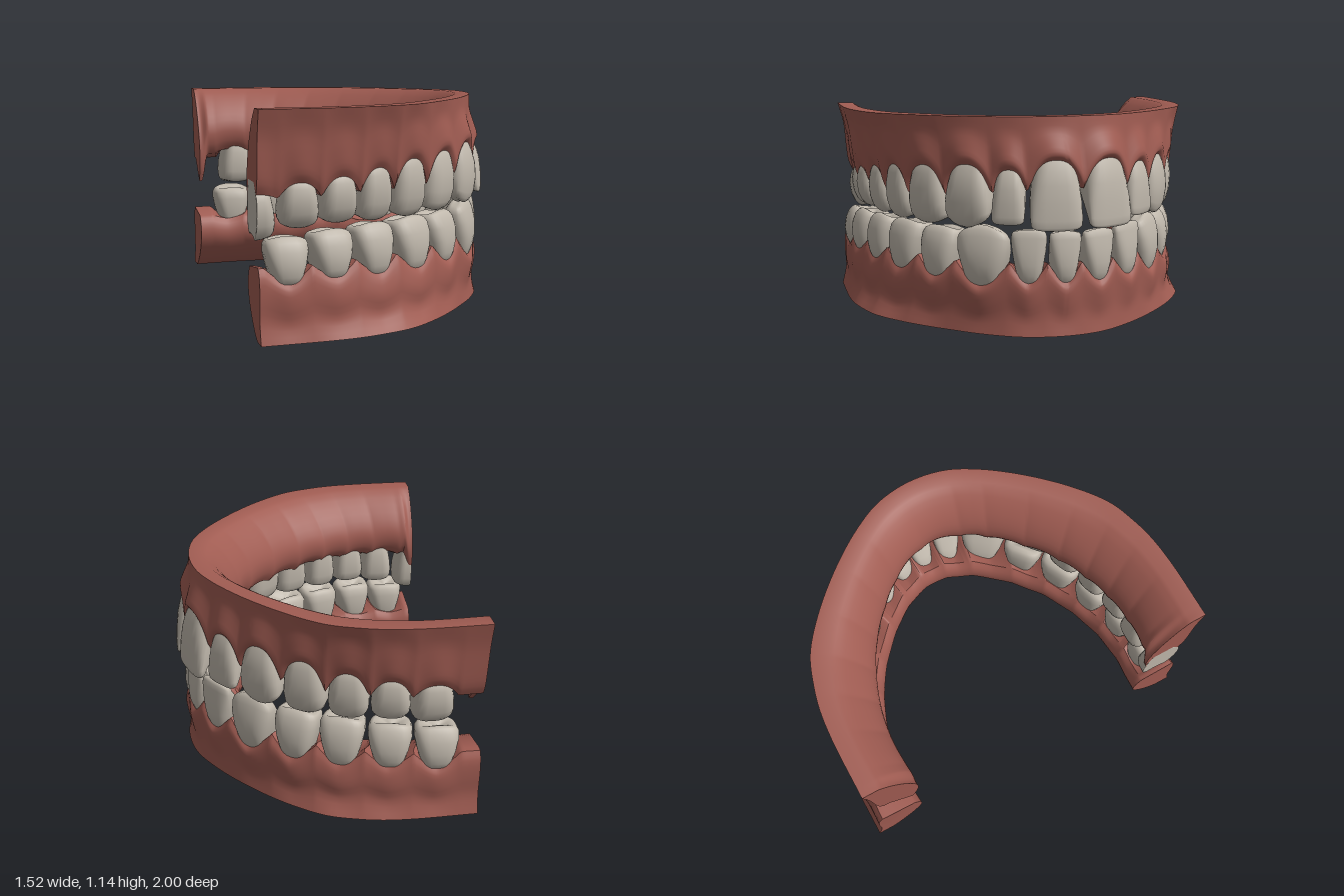
import * as THREE from 'three';
import { toCreasedNormals, mergeVertices } from 'three/addons/utils/BufferGeometryUtils.js';

const gumMat = new THREE.MeshStandardMaterial({ color: 0xa05c52, side: THREE.DoubleSide });
gumMat.name = 'gum';
const toothMat = new THREE.MeshStandardMaterial({ color: 0xc0b8ac });
toothMat.name = 'enamel';

const BACK = -0.76, MIDLINE = -0.093;

// Horseshoe curve through [x, z] points, running from the left end round the front to the right end
function horseshoe(points) {
  const curve = new THREE.CatmullRomCurve3(points.map(([x, z]) => new THREE.Vector3(x, 0, z)));
  curve.arcLengthDivisions = 1000;
  return curve;
}
const mirrored = half => [...half, ...half.slice(0, -1).reverse().map(([x, z]) => [x, -z])];

// Outer rim of the gum, and its fullest line on the tongue side
const RIM = horseshoe(mirrored([[BACK, 1], [-0.42, 1], [-0.25, 0.985], [-0.12, 0.955], [0.03, 0.9], [0.2, 0.775],
  [0.4, 0.57], [0.55, 0.365], [0.63, 0.2], [0.66, 0]]));
const TONGUE = horseshoe(mirrored([[BACK, 0.71], [-0.52, 0.722], [-0.29, 0.685], [-0.02, 0.57], [0.17, 0.425],
  [0.325, 0.25], [0.395, 0.11], [0.415, 0]]));
// Outer faces of the two rows of teeth
const FRONT = [[0.545, 0.425], [0.65, 0.235], [0.698, 0.03], [0.695, -0.12], [0.65, -0.27], [0.545, -0.435]];
const UPPER_ROW = horseshoe([[BACK, 0.925], [-0.4, 0.93], [-0.2, 0.89], [0, 0.825], [0.2, 0.735], [0.4, 0.58], ...FRONT,
  [0.4, -0.595], [0.2, -0.755], [0, -0.845], [-0.2, -0.905], [-0.4, -0.938], [BACK, -0.935]]);
const LOWER_ROW = horseshoe([[BACK, 0.97], [-0.45, 0.957], [-0.22, 0.905], [0, 0.83], [0.2, 0.725], [0.4, 0.575], ...FRONT,
  [0.4, -0.59], [0.2, -0.745], [0, -0.845], [-0.22, -0.915], [-0.45, -0.957], [BACK, -0.97]]);

// Point, tangent, outward normal and "frontness" at a distance along a row
function at(row, s) {
  const length = row.getLength(), inside = THREE.MathUtils.clamp(s, 0, length);
  const t = row.getTangentAt(inside / length);
  const p = row.getPointAt(inside / length).addScaledVector(t, s - inside);
  const n = new THREE.Vector3(-t.z, 0, t.x);
  return { p, t, n, front: Math.max(0, n.x) ** 2 };
}

// Walk along a row until a condition holds
function walk(row, s, dir, done) {
  while (!done(at(row, s).p)) s += dir * 0.002;
  return s;
}

// Crown levels: [height, width, outer face, inner face]
const CROWNS = {
  incisor: [[-0.25, 0.6, -0.05, -0.18], [0, 0.7, -0.004, -0.2], [0.15, 0.8, 0.012, -0.2], [0.35, 0.9, 0.018, -0.17],
    [0.6, 0.97, 0.014, -0.12], [0.85, 0.98, 0.004, -0.07], [0.95, 0.95, -0.003, -0.06], [0.99, 0.86, -0.012, -0.052], [1, 0.55, -0.022, -0.042]],
  canine: [[-0.25, 0.6, -0.05, -0.19], [0, 0.7, -0.004, -0.2], [0.15, 0.8, 0.014, -0.2], [0.35, 0.91, 0.024, -0.19],
    [0.6, 0.99, 0.02, -0.16], [0.83, 0.97, 0.002, -0.12], [0.93, 0.9, -0.012, -0.1], [0.98, 0.76, -0.025, -0.085], [1, 0.4, -0.04, -0.07]],
  molar: [[-0.25, 0.65, -0.05, -0.18], [0, 0.74, -0.006, -0.195], [0.15, 0.83, 0.008, -0.205], [0.4, 0.94, 0.016, -0.21],
    [0.68, 1, 0.006, -0.21], [0.87, 0.97, -0.014, -0.2], [0.96, 0.89, -0.034, -0.185], [1, 0.74, -0.052, -0.165],
    [0.95, 0.5, -0.075, -0.145], [0.88, 0.15, -0.1, -0.12]],
};

// Teeth outward from the midline: [far end, gum margin y, biting edge y, crown]
// The far end is a distance in z for the two incisors and an x position for the rest
const I = 'incisor', C = 'canine', M = 'molar';
const UPPER = [
  [[0.2, 0.92, 0.56, I], [0.37, 0.87, 0.59, I], [0.4, 0.89, 0.56, C], [0.185, 0.87, 0.565, M], [-0.025, 0.85, 0.56, M],
    [-0.225, 0.82, 0.56, M], [-0.435, 0.79, 0.565, M], [-0.65, 0.77, 0.55, M], [-0.86, 0.72, 0.5, M]],
  [[0.376, 0.92, 0.56, I], [0.55, 0.88, 0.59, I], [0.25, 0.89, 0.56, C], [0.035, 0.87, 0.565, M],
    [-0.18, 0.83, 0.56, M], [-0.395, 0.8, 0.565, M], [-0.63, 0.77, 0.54, M]],
];
const LOWER = [
  [[0.09, 0.28, 0.55, I], [0.285, 0.28, 0.56, I], [0.44, 0.26, 0.575, C], [0.235, 0.28, 0.54, M], [-0.01, 0.285, 0.545, M],
    [-0.25, 0.295, 0.54, M], [-0.49, 0.305, 0.53, M], [-0.73, 0.29, 0.51, M]],
  [[0.29, 0.28, 0.55, I], [0.485, 0.28, 0.56, I], [0.3, 0.26, 0.575, C], [0.08, 0.28, 0.545, M],
    [-0.165, 0.29, 0.545, M], [-0.41, 0.3, 0.53, M], [-0.66, 0.29, 0.515, M]],
];

function placeTeeth(row, sides) {
  const start = walk(row, row.getLength() / 2 - 0.15, 1, p => p.z <= MIDLINE);
  return sides.flatMap((list, k) => {
    const dir = k === 0 ? -1 : 1;
    let s = start;
    return list.map(([end, margin, edge, crown], i) => {
      const from = s;
      s = walk(row, s, dir, p => (i < 2 ? -dir * p.z >= end : p.x <= end));
      return { mid: (from + s) / 2, width: Math.abs(s - from), margin, edge, crown };
    });
  });
}

// Closed rings joined into a geometry, creased or fully smooth
function loft(rings, flip, crease, caps = []) {
  const m = rings[0].length, pos = [], idx = [];
  rings.forEach(r => r.forEach(v => pos.push(v.x, v.y, v.z)));
  const tri = (a, b, c) => flip ? idx.push(a, c, b) : idx.push(a, b, c);
  for (let i = 0; i < rings.length - 1; i++) for (let j = 0; j < m; j++) {
    const k = (j + 1) % m, a = i * m, b = a + m;
    tri(a + j, b + j, b + k);
    tri(a + j, b + k, a + k);
  }
  caps.forEach(c => idx.push(...c));
  const g = new THREE.BufferGeometry();
  g.setAttribute('position', new THREE.Float32BufferAttribute(pos, 3));
  g.setIndex(idx);
  if (crease) return toCreasedNormals(g, crease);
  const merged = mergeVertices(g, 1e-5);
  merged.computeVertexNormals();
  return merged;
}

// One crown lofted from rounded-box rings
function makeTooth(row, { mid, width, margin, edge, crown }, upper) {
  const f = at(row, mid), H = edge - margin, N = 28;
  const rings = CROWNS[crown].map(([h, w, zo, zi]) => Array.from({ length: N }, (_, j) => {
    const a = (j / N) * Math.PI * 2, pw = 0.62;
    const cx = Math.sign(Math.cos(a)) * Math.abs(Math.cos(a)) ** pw;
    const cz = Math.sign(Math.sin(a)) * Math.abs(Math.sin(a)) ** pw;
    // lower crowns flare from a narrow neck; all narrow towards the tongue
    const flare = upper ? 1 : 0.84 + 0.16 * Math.min(1, Math.max(0, h) * 1.2);
    const across = cx * w * width * 0.49 * flare * (0.94 + 0.06 * cz);
    // corners drop away from the tip; molars keep two cusps with a groove between
    const droop = crown === C ? 0.13 * cx * cx * w : crown === M ? 0.06 * cx * cx - 0.03 * cz : 0.03 * cx ** 4;
    const hh = h - droop * Math.max(0, h) ** 2;
    const lean = upper ? 0.06 * f.front * Math.max(0, h) : 0.008 * (1 - f.front);
    const depth = (zo + zi) / 2 + cz * (zo - zi) / 2 + lean - 0.35 * across * across;
    const v = f.p.clone().addScaledVector(f.t, across).addScaledVector(f.n, depth).setY(margin + hh * H);
    v.x = Math.max(v.x, BACK); // crowns are cut flush with the end of the arch
    return v;
  }));
  const tip = rings.at(-1).reduce((v, q) => v.addScaledVector(q, 1 / N), new THREE.Vector3());
  rings.push(Array.from({ length: N }, () => tip.clone()));
  return new THREE.Mesh(loft(rings, upper, 0), toothMat);
}

// Gum lofted between rim, tooth row and tongue line, scalloped around every tooth
function makeGum(row, teeth, upper) {
  const STEPS = 300, rings = [], length = row.getLength();
  for (let i = 0; i <= STEPS; i++) {
    const u = i / STEPS, s = u * length, { p, n, front } = at(row, s);
    const tongue = TONGUE.getPointAt(u);
    const rim = RIM.getPointAt(u).addScaledVector(n, upper ? 0 : 0.055 * front);
    const papilla = upper ? 0.695 + 0.06 * front : 0.372 + 0.015 * front;
    const tooth = teeth.find(t => Math.abs(s - t.mid) <= t.width / 2);
    const e = tooth ? Math.abs(s - tooth.mid) / (tooth.width / 2) : 1;
    const arc = 1 - e ** (upper ? 2.4 : 1.5);
    const ridge = Math.cos(e * Math.PI);
    const margin = tooth ? papilla + (tooth.margin - papilla) * arc : papilla;
    const drop = 1 - THREE.MathUtils.smoothstep(Math.min(s, length - s), 0.02, 0.07);
    const inner = upper ? 0.735 + 0.025 * arc - 0.17 * drop : 0.345 - 0.025 * arc;
    const base = upper ? 1.128 + 0.012 * front : 0.004 * (1 - front);
    // cheek side: [blend from rim to tooth row, outward offset, height fraction]
    const cheek = new THREE.CatmullRomCurve3([
      [0, 0, 0], [upper ? 0.35 : 0.6, -0.006, 0.3], [0.7, 0.006 + 0.004 * ridge, 0.6],
      [1, 0.012 + 0.007 * ridge, 0.87], [1, -0.018 + 0.014 * arc, 1],
    ].map(([k, d, h]) => rim.clone().lerp(p, k).addScaledVector(n, d).setY(base + (margin - base) * h))).getPoints(12);
    // tongue side: [blend from rim to tongue line, height fraction]
    const lingual = new THREE.CatmullRomCurve3([
      [0.86, 1], [0.97, 0.86], [1, 0.64], [0.85, 0.38], [0.52, 0.1], [0.31, 0],
    ].map(([k, h]) => rim.clone().lerp(tongue, k).setY(base + (inner - base) * h))).getPoints(14);
    const crest = p.clone().addScaledVector(n, -0.05).setY(margin);
    rings.push([...cheek, crest, ...lingual]);
  }
  // flat cut faces at both ends of the arch
  const m = rings[0].length;
  const caps = [0, STEPS].map(i => {
    const flat = rings[i].map(v => new THREE.Vector2(v.z, v.y));
    return THREE.ShapeUtils.triangulateShape(flat, []).flat().map(k => k + i * m);
  });
  return new THREE.Mesh(loft(rings, upper, 0.8, caps), gumMat);
}

export function createModel() {
  const model = new THREE.Group();
  model.name = 'dentalModel';
  for (const [name, row, sides, upper] of [['upper', UPPER_ROW, UPPER, true], ['lower', LOWER_ROW, LOWER, false]]) {
    const jaw = new THREE.Group();
    jaw.name = name + 'Jaw';
    const teeth = placeTeeth(row, sides);
    const gum = makeGum(row, teeth, upper);
    gum.name = name + 'Gum';
    jaw.add(gum);
    teeth.forEach((t, i) => {
      const mesh = makeTooth(row, t, upper);
      mesh.name = `${name}Tooth${i + 1}`;
      jaw.add(mesh);
    });
    model.add(jaw);
  }
  return model;
}
